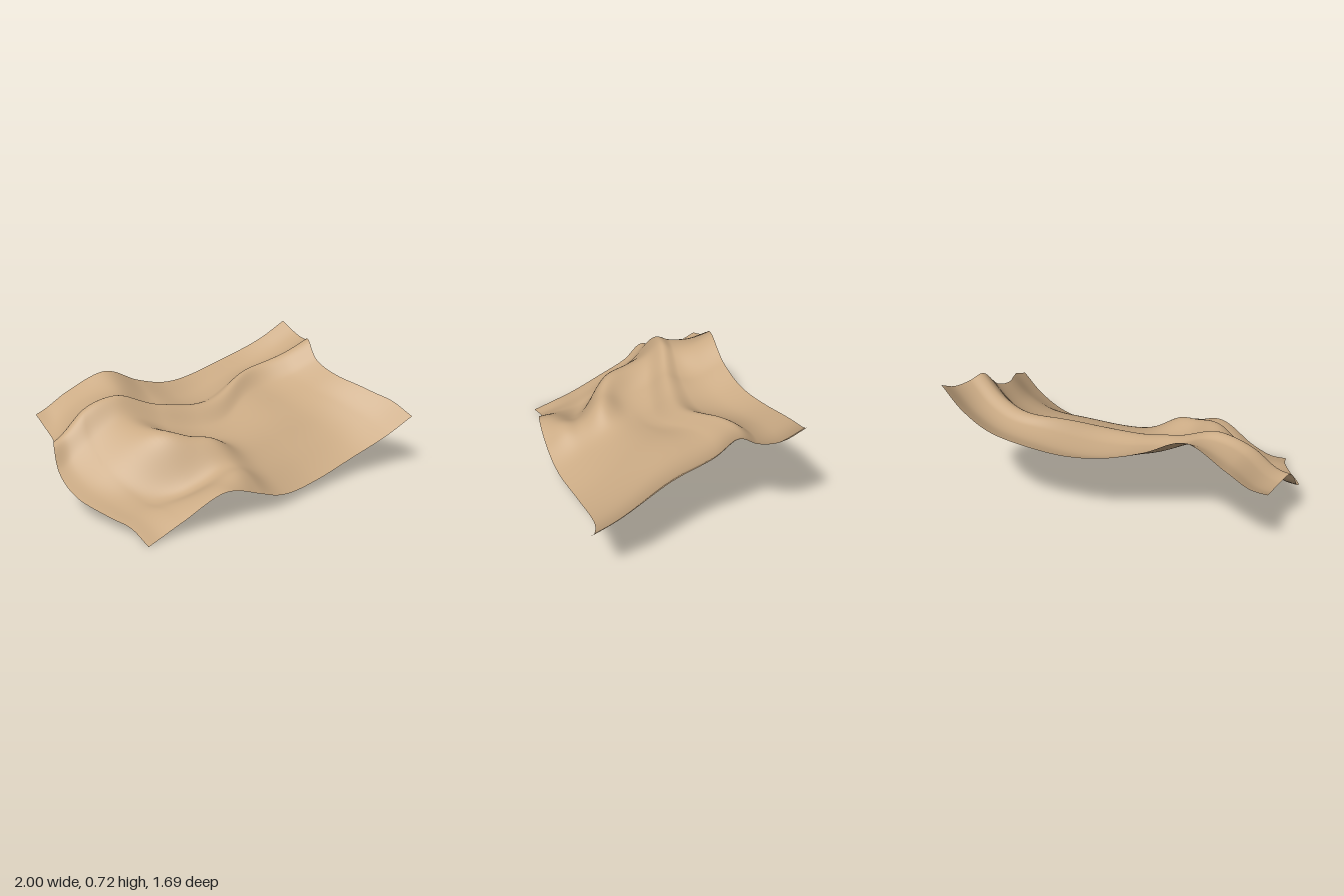
import * as THREE from 'three';

const ACROSS = 100;
const ALONG = 112;

const curve = (points) =>
  new THREE.CatmullRomCurve3(points.map((p) => new THREE.Vector3(...p)));

// Left edge, back to front, with the step of the long fold
const sideEdge = curve([
  [-0.72, 0.385, -0.84], [-0.76, 0.32, -0.7], [-0.82, 0.306, -0.585],
  [-0.885, 0.32, -0.51], [-0.945, 0.2, -0.41], [-0.985, 0.115, -0.24],
  [-0.975, 0.065, -0.02], [-0.968, 0.045, 0.13], [-1, 0, 0.28],
]);

// Back hem, left to right, with its hump
const backHem = curve([
  [-0.72, 0.385, -0.84], [-0.62, 0.405, -0.832], [-0.51, 0.46, -0.79],
  [-0.31, 0.585, -0.675], [-0.1, 0.495, -0.61], [0.11, 0.437, -0.575],
  [0.38, 0.435, -0.545], [0.69, 0.505, -0.475], [0.87, 0.6, -0.375], [1, 0.715, -0.275],
]);

// Soft bulges: centre and reach across (u) and along (v), then shift in y and z
const bulges = [
  { u: 0.12, v: 0.22, ru: 0.075, rv: 0.22, dy: 0.08, dz: 0 }, // back left ridge
  { u: 0.29, v: 0.2, ru: 0.08, rv: 0.12, dy: -0.035, dz: 0 }, // dent behind the crest
  { u: 0.62, v: 0.62, ru: 0.36, rv: 0.25, dy: 0.14, dz: 0 }, // broad swell
  { u: 0.74, v: 0.35, ru: 0.16, rv: 0.3, dy: 0.065, dz: 0 }, // right swell
  { u: 0.23, v: 0.75, ru: 0.11, rv: 0.16, dy: -0.165, dz: 0 }, // front left pocket
  { u: 0.28, v: 0.6, ru: 0.07, rv: 0.13, dy: 0.085, dz: 0 }, // short spur
  { u: 0.37, v: 0.68, ru: 0.08, rv: 0.11, dy: 0.095, dz: 0 }, // end of the spur
  { u: 0.34, v: 0.89, ru: 0.07, rv: 0.1, dy: 0.06, dz: 0 }, // front ridge
  { u: 0.24, v: 0.33, ru: 0.11, rv: 0.12, dy: 0, dz: -0.06 }, // sway of the long fold
  { u: 0.56, v: 0.36, ru: 0.14, rv: 0.14, dy: 0, dz: 0.09 },
  { u: 0.87, v: 0.3, ru: 0.14, rv: 0.12, dy: 0, dz: -0.05 },
];

// The hem is swept along the side edge, then bulged
function clothGeometry() {
  const hem = backHem.getPoints(ACROSS);
  const side = sideEdge.getPoints(ALONG);
  const corner = hem[0];
  const width = hem[ACROSS].x - corner.x;
  const depth = side[ALONG].z - corner.z;
  const positions = [];
  const indices = [];
  for (const h of hem) {
    for (const s of side) {
      const p = h.clone().add(s).sub(corner);
      const u = (h.x - corner.x) / width;
      const v = (s.z - corner.z) / depth;
      for (const b of bulges) {
        const weight = Math.exp(-(((u - b.u) / b.ru) ** 2) - ((v - b.v) / b.rv) ** 2);
        p.y += b.dy * weight;
        p.z += b.dz * weight;
      }
      positions.push(p.x, p.y, p.z);
    }
  }
  for (let i = 0; i < ACROSS; i++) {
    for (let j = 0; j < ALONG; j++) {
      const a = i * (ALONG + 1) + j;
      const b = a + ALONG + 1;
      indices.push(a, a + 1, b, b, a + 1, b + 1);
    }
  }
  const geometry = new THREE.BufferGeometry();
  geometry.setAttribute('position', new THREE.Float32BufferAttribute(positions, 3));
  geometry.setIndex(indices);
  geometry.computeVertexNormals();
  return geometry;
}

export function createModel() {
  const group = new THREE.Group();
  group.name = 'drapedCloth';
  const tan = new THREE.MeshStandardMaterial({ color: 0xcaaa84, side: THREE.DoubleSide });
  tan.name = 'tanFabric';
  const cloth = new THREE.Mesh(clothGeometry(), tan);
  cloth.name = 'clothSheet';
  group.add(cloth);
  return group;
}
